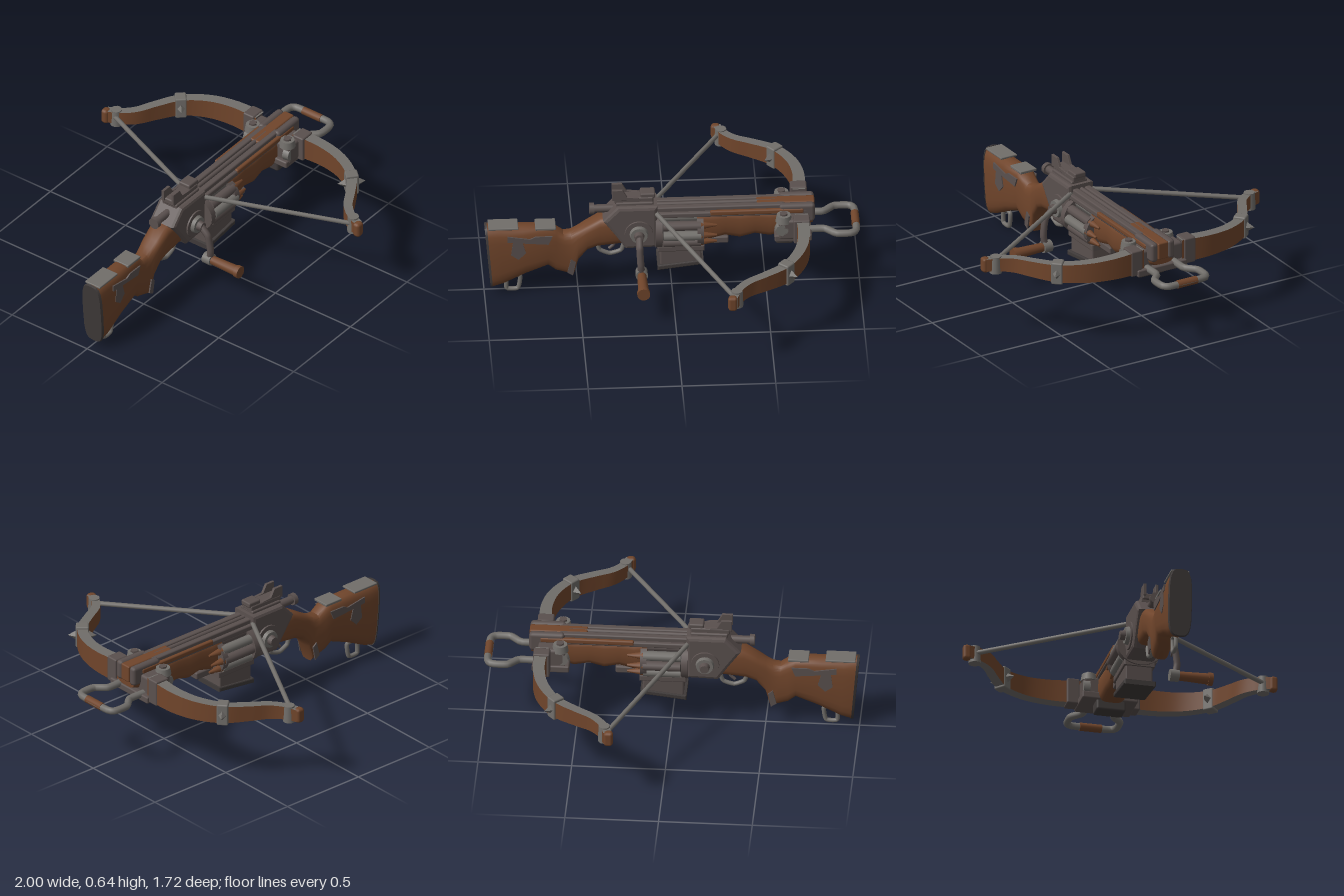
import * as THREE from 'three';
import { toCreasedNormals } from 'three/addons/utils/BufferGeometryUtils.js';
import { RoundedBoxGeometry } from 'three/addons/geometries/RoundedBoxGeometry.js';

const mat = (name, color) => Object.assign(new THREE.MeshStandardMaterial({ color }), { name });
const wood = mat('brown wood', 0x70452b);
const iron = mat('dark iron', 0x5a504e);
const steel = mat('worn steel', 0x716e6a);
const black = mat('blackened metal', 0x3f3a39);
const CZ = 0.02; // centre line of the body
const V = (x, y, z) => new THREE.Vector3(x, y, z);

export function createModel() {
  const root = new THREE.Group();
  root.name = 'repeatingCrossbow';
  const add = (name, geo, material) => {
    const m = new THREE.Mesh(geo, material);
    m.name = name;
    root.add(m);
    return m;
  };
  // box given by its extents
  const box = (name, material, x0, x1, y0, y1, z0, z1, r = 0.008) => {
    const m = add(name, new RoundedBoxGeometry(x1 - x0, y1 - y0, z1 - z0, 1, r), material);
    m.position.set((x0 + x1) / 2, (y0 + y1) / 2, (z0 + z1) / 2);
    return m;
  };
  // round bar between two points
  const rod = (name, material, a, b, r0, r1 = r0, sides = 14) => {
    const d = b.clone().sub(a);
    const m = add(name, new THREE.CylinderGeometry(r1, r0, d.length(), sides), material);
    m.position.copy(a).addScaledVector(d, 0.5);
    m.quaternion.setFromUnitVectors(V(0, 1, 0), d.normalize());
    return m;
  };
  const tube = (name, material, pts, r, closed = false, tension = 0.3) => add(name,
    new THREE.TubeGeometry(new THREE.CatmullRomCurve3(pts, closed, 'catmullrom', tension), 48, r, 8, closed), material);
  // side outline pushed through z
  const plate = (name, material, pts, z0, z1, bevel = 0.012) => {
    const s = new THREE.Shape(pts.map(p => new THREE.Vector2(...p)));
    const g = new THREE.ExtrudeGeometry(s, { depth: z1 - z0 - 2 * bevel, bevelThickness: bevel,
      bevelSize: bevel, bevelOffset: -bevel, bevelSegments: 2, bevelEnabled: bevel > 0 });
    g.translate(0, 0, z0 + bevel);
    return add(name, g, material);
  };
  // loft through sections [xTop, yTop, xBottom, yBottom, halfWidth]
  const loft = (name, material, sections, power = 0.55, n = 20) => {
    const pos = [], idx = [];
    const pw = v => Math.sign(v) * Math.abs(v) ** power;
    for (const [xt, yt, xb, yb, w] of sections) {
      for (let i = 0; i < n; i++) {
        const a = i / n * Math.PI * 2, t = (pw(Math.sin(a)) + 1) / 2;
        pos.push(xb + (xt - xb) * t, yb + (yt - yb) * t, CZ + w * pw(Math.cos(a)));
      }
    }
    const last = (sections.length - 1) * n;
    for (let j = 0; j < last; j += n) for (let i = 0; i < n; i++) {
      const k = (i + 1) % n;
      idx.push(j + i, j + n + i, j + n + k, j + i, j + n + k, j + k);
    }
    for (let i = 1; i < n - 1; i++) idx.push(0, i, i + 1, last, last + i + 1, last + i);
    const g = new THREE.BufferGeometry();
    g.setAttribute('position', new THREE.Float32BufferAttribute(pos, 3));
    g.setIndex(idx);
    return add(name, toCreasedNormals(g, 0.7), material);
  };

  // Stock with pistol grip
  loft('stock', wood, [
    [-0.995, 0.415, -0.96, 0.04, 0.062], [-0.92, 0.415, -0.9, 0.06, 0.065], [-0.8, 0.41, -0.78, 0.12, 0.06],
    [-0.66, 0.41, -0.66, 0.17, 0.06], [-0.615, 0.385, -0.62, 0.135, 0.054], [-0.58, 0.36, -0.56, 0.115, 0.052],
    [-0.54, 0.365, -0.525, 0.1, 0.052], [-0.5, 0.385, -0.5, 0.2, 0.056], [-0.46, 0.41, -0.45, 0.265, 0.06],
    [-0.38, 0.46, -0.4, 0.285, 0.065], [-0.26, 0.465, -0.26, 0.3, 0.065]]);
  loft('buttPlate', black, [[-1, 0.417, -0.967, 0.04, 0.06], [-0.987, 0.42, -0.955, 0.037, 0.066]]);
  box('combPlate', steel, -0.98, -0.82, 0.408, 0.42, -0.03, 0.07, 0.004);
  box('combPlate', steel, -0.73, -0.62, 0.4, 0.415, -0.03, 0.07, 0.004);
  for (const s of [-1, 1]) {
    const side = (name, pts) => plate(name, iron, pts, CZ + s * 0.061 - 0.004, CZ + s * 0.061 + 0.004, 0);
    side('stockStrap', [[-0.88, 0.34], [-0.66, 0.32], [-0.64, 0.37], [-0.73, 0.37], [-0.76, 0.355], [-0.88, 0.375]]);
    side('stockBuckle', [[-0.86, 0.26], [-0.82, 0.23], [-0.78, 0.27], [-0.8, 0.34], [-0.85, 0.34]]);
    side('gripPatch', [[-0.56, 0.14], [-0.53, 0.12], [-0.515, 0.2], [-0.54, 0.22]]);
  }
  // Sling swivel under the butt
  tube('slingSwivel', steel, [V(-0.875, 0.09, CZ), V(-0.88, 0.013, CZ), V(-0.82, 0.013, CZ), V(-0.81, 0.09, CZ)], 0.012, true);

  // Receiver, rear knob and trigger
  plate('receiver', iron, [[-0.37, 0.46], [-0.29, 0.545], [-0.08, 0.545], [-0.08, 0.29], [-0.25, 0.285], [-0.3, 0.36]], -0.06, 0.1, 0.018);
  box('receiverTop', iron, -0.3, -0.1, 0.53, 0.56, -0.03, 0.07);
  rod('rearKnobStem', iron, V(-0.42, 0.5, CZ), V(-0.28, 0.5, CZ), 0.022);
  rod('rearKnob', iron, V(-0.44, 0.5, CZ), V(-0.415, 0.5, CZ), 0.032);
  tube('triggerGuard', steel, [V(-0.4, 0.29, CZ), V(-0.385, 0.24, CZ), V(-0.33, 0.215, CZ), V(-0.27, 0.235, CZ), V(-0.25, 0.3, CZ)], 0.012);
  tube('trigger', iron, [V(-0.31, 0.31, CZ), V(-0.31, 0.27, CZ), V(-0.335, 0.245, CZ)], 0.009);

  // Sight
  box('sightBase', iron, -0.31, -0.1, 0.55, 0.585, -0.02, 0.06);
  box('sightFront', iron, -0.17, -0.09, 0.575, 0.605, -0.015, 0.055);
  for (const z of [-0.01, 0.055])
    plate('sightProng', iron, [[-0.32, 0.57], [-0.17, 0.57], [-0.18, 0.585], [-0.24, 0.59], [-0.265, 0.635], [-0.32, 0.635]], z - 0.008, z + 0.008, 0.002);

  // Winding hubs on both sides and the crank
  const hub = V(-0.18, 0.385, CZ);
  for (const s of [-1, 1]) {
    const at = d => V(hub.x, hub.y, CZ + s * d);
    rod('hubDisc', iron, at(0.06), at(0.088), 0.08, 0.075, 20);
    rod('hubRing', steel, at(0.088), at(0.108), 0.05, 0.045, 20);
    rod('hubCap', iron, at(0.1), at(0.135), 0.03, 0.024, 12);
  }
  tube('crankArm', iron, [V(-0.18, 0.385, 0.14), V(-0.18, 0.34, 0.185), V(-0.175, 0.25, 0.2), V(-0.17, 0.18, 0.19)], 0.019);
  rod('crankCollar', steel, V(-0.17, 0.185, 0.16), V(-0.17, 0.185, 0.21), 0.033);
  rod('crankHandle', wood, V(-0.17, 0.185, 0.2), V(-0.17, 0.185, 0.375), 0.024, 0.03);
  rod('crankHandleEnd', wood, V(-0.17, 0.185, 0.37), V(-0.17, 0.185, 0.395), 0.035);

  // Rotating bolt drum
  const drum = (name, material, x0, x1, r) => {
    const m = rod(name, material, V(x0, 0.375, CZ), V(x1, 0.375, CZ), r, r, 24);
    m.scale.x = 0.86;
  };
  drum('drumCore', black, -0.08, 0.16, 0.09);
  drum('drumRearPlate', iron, -0.09, -0.055, 0.125);
  drum('drumFrontPlate', iron, 0.13, 0.165, 0.12);
  for (let i = 0; i < 10; i++) {
    const a = i / 10 * Math.PI * 2, y = 0.375 + 0.085 * Math.sin(a), z = CZ + 0.1 * Math.cos(a);
    rod('drumTube', i % 2 ? iron : steel, V(-0.05, y, z), V(0.15, y, z), 0.027, 0.027, 10);
    rod('boltTip', wood, V(0.15, y, z), V(0.235, y, z), 0.022, 0.006, 10);
  }

  // Box magazine
  plate('magazine', iron, [[-0.07, 0.32], [0.15, 0.32], [0.155, 0.19], [-0.065, 0.165]], -0.055, 0.095, 0.008);
  plate('magazineRim', iron, [[-0.08, 0.3], [0.17, 0.3], [0.17, 0.265], [-0.08, 0.265]], -0.065, 0.105, 0.006);
  plate('magazineBase', black, [[-0.08, 0.18], [0.165, 0.208], [0.165, 0.182], [-0.08, 0.152]], -0.065, 0.11, 0.006);

  // Fore-end
  loft('foreEnd', wood, [[0.13, 0.49, 0.13, 0.34, 0.07], [0.2, 0.49, 0.2, 0.315, 0.075], [0.28, 0.49, 0.28, 0.335, 0.068],
    [0.36, 0.49, 0.36, 0.32, 0.074], [0.44, 0.49, 0.44, 0.34, 0.068], [0.52, 0.49, 0.52, 0.325, 0.072],
    [0.62, 0.5, 0.62, 0.35, 0.07], [0.75, 0.51, 0.75, 0.4, 0.065]]);
  box('foreEndBand', iron, 0.18, 0.3, 0.29, 0.33, -0.035, 0.075);

  // Bolt track on top
  box('trackBed', iron, -0.1, 0.72, 0.47, 0.5, -0.055, 0.095);
  for (const s of [-1, 1]) {
    box('trackRail', iron, -0.1, 0.6, 0.49, 0.525, CZ + s * 0.037 - 0.018, CZ + s * 0.037 + 0.018);
    box('trackEdge', wood, 0.2, 0.7, 0.48, 0.508, CZ + s * 0.067 - 0.012, CZ + s * 0.067 + 0.012);
    box('noseCheek', iron, 0.57, 0.76, 0.42, 0.53, CZ + s * 0.052 - 0.022, CZ + s * 0.052 + 0.022, 0.018);
  }
  box('trackInlay', wood, 0.45, 0.76, 0.43, 0.526, -0.012, 0.052);
  rod('loadedBolt', iron, V(-0.08, 0.515, CZ), V(0.55, 0.515, CZ), 0.012, 0.012, 8);

  // Bow mount
  box('bowMount', iron, 0.56, 0.71, 0.36, 0.48, -0.13, 0.17, 0.015);
  box('mountFoot', black, 0.55, 0.645, 0.29, 0.36, -0.06, 0.1, 0.012);
  box('mountShelf', iron, 0.54, 0.74, 0.345, 0.385, -0.14, 0.165);
  for (const s of [-1, 1]) {
    const z = CZ + s * 0.115;
    rod('mountBolt', steel, V(0.59, 0.46, z), V(0.59, 0.5, z), 0.045, 0.038, 12);
    rod('mountNut', iron, V(0.59, 0.5, z), V(0.59, 0.51, z), 0.022, 0.022, 6);
    rod('mountSideNut', steel, V(0.58, 0.42, z), V(0.58, 0.42, z + s * 0.035), 0.04, 0.035, 8);
  }

  // Limbs: wooden faces with steel edges
  const limb = (s) => {
    const pts = [[0.685, 0.12], [0.69, 0.3], [0.66, 0.44], [0.58, 0.57], [0.46, 0.652], [0.37, 0.705], [0.31, 0.775], [0.285, 0.84]];
    const curve = new THREE.CatmullRomCurve3(pts.map(([x, z]) => V(x, 0, s * z)));
    const N = 28, rings = [];
    for (let j = 0; j <= N; j++) {
      const u = j / N, c = curve.getPointAt(u), t = curve.getTangentAt(u);
      const n = V(t.z, 0, -t.x).multiplyScalar(0.034 - 0.012 * u);
      const y = 0.425 - 0.015 * u, h = 0.066 - 0.031 * u;
      rings.push([[-1, 1], [1, 1], [1, -1], [-1, -1]].map(([a, b]) => c.clone().addScaledVector(n, a).setY(y + b * h)));
    }
    const strip = (name, material, i) => {
      const k = (i + 1) % 4, pos = rings.flatMap(r => [...r[i].toArray(), ...r[k].toArray()]), idx = [];
      for (let j = 0; j < N; j++) idx.push(2 * j, 2 * j + 2, 2 * j + 3, 2 * j, 2 * j + 3, 2 * j + 1);
      const g = new THREE.BufferGeometry();
      g.setAttribute('position', new THREE.Float32BufferAttribute(pos, 3));
      g.setIndex(idx);
      g.computeVertexNormals();
      add(name, g, material);
    };
    ['limbTopEdge', 'limbFace', 'limbBottomEdge', 'limbFace'].forEach((name, i) => strip(name, i % 2 ? wood : steel, i));
    // clamp at the root and band at the bend
    box('limbClamp', iron, 0.64, 0.728, 0.352, 0.497, s * 0.165 - 0.035, s * 0.165 + 0.035);
    const band = box('limbBand', steel, 0.549, 0.611, 0.355, 0.479, s * 0.57 - 0.035, s * 0.57 + 0.035);
    band.rotation.y = s * 0.85;
    const gem = add('limbDiamond', new THREE.OctahedronGeometry(0.055), steel);
    gem.scale.set(0.7, 0.9, 1.4);
    gem.position.copy(band.position);
    gem.rotation.y = band.rotation.y;
    // tip with string nock
    box('limbTip', wood, 0.255, 0.305, 0.365, 0.45, s * 0.84 - 0.022, s * 0.84 + 0.022, 0.016);
    rod('stringNock', steel, V(0.305, 0.36, s * 0.79), V(0.305, 0.455, s * 0.79), 0.034, 0.03, 12);
    rod('bowString', steel, V(0.29, 0.415, s * 0.79), V(-0.09, 0.5, CZ + s * 0.06), 0.013, 0.013, 8);
  };
  limb(-1);
  limb(1);

  // Foot stirrup
  const half = [[0.7, 0.085], [0.81, 0.085], [0.87, 0.135], [0.95, 0.135], [0.978, 0.1]];
  const loop = [...half.map(([x, z]) => V(x, 0.378, 0.01 - z)), ...half.reverse().map(([x, z]) => V(x, 0.378, 0.01 + z))];
  tube('stirrup', steel, loop, 0.02);
  rod('stirrupGrip', wood, V(0.978, 0.378, -0.05), V(0.978, 0.378, 0.07), 0.022);
  return root;
}
